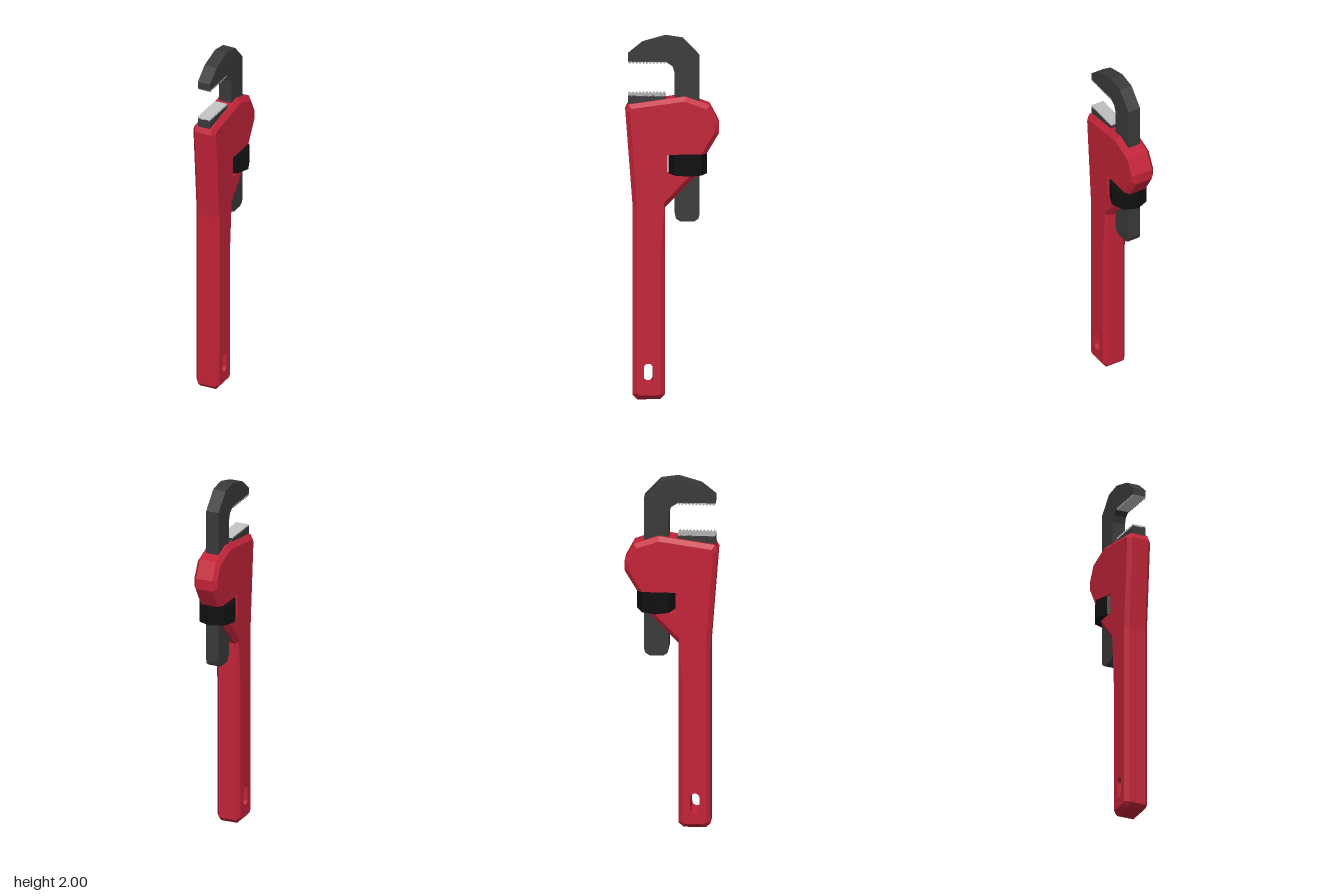
import * as THREE from 'three';

const paint = (name, color) => {
  const m = new THREE.MeshStandardMaterial({ color });
  m.name = name;
  return m;
};

// Profiles are drawn as (z, y) and extruded across x.
const toShape = (pts) => new THREE.Shape(pts.map(([z, y]) => new THREE.Vector2(z, y)));

function plate(name, pts, width, material) {
  const geo = new THREE.ExtrudeGeometry(toShape(pts), { depth: width, bevelEnabled: false });
  geo.translate(0, 0, -width / 2);
  geo.rotateY(-Math.PI / 2);
  const mesh = new THREE.Mesh(geo, material);
  mesh.name = name;
  return mesh;
}

// Mitred inward offset of a counter-clockwise outline; a third value sets a plain shift in z.
function insetOutline(pts, d) {
  const normal = (a, b) => new THREE.Vector2(a[1] - b[1], b[0] - a[0]).normalize();
  return pts.map((p, i) => {
    if (p.length > 2) return [p[0] + p[2], p[1]];
    const n1 = normal(pts.at(i - 1), p);
    const n2 = normal(p, pts[(i + 1) % pts.length]);
    const k = d / (1 + n1.dot(n2));
    return [p[0] + (n1.x + n2.x) * k, p[1] + (n1.y + n2.y) * k];
  });
}

// Handle and head in one piece, with chamfered outer edges and a square-cut hanging slot.
function makeBody(material) {
  const outline = [
    [0.19, 0], [0.215, 0.025], [0.215, 1.07], [0.255, 1.597], [0.238, 1.63],
    [-0.07, 1.673], [-0.205, 1.625], [-0.255, 1.53], [-0.255, 1.47],
    // notch for the adjusting nut
    [-0.187, 1.355, 0.029], [0.025, 1.355, 0], [0.025, 1.235, 0], [-0.13, 1.235, 0.035],
    [0.04, 1.06], [0.04, 0.025], [0.065, 0],
  ];
  const inner = insetOutline(outline, 0.024);
  const shape = toShape(outline);
  const slot = new THREE.Path();
  slot.absarc(0.13, 0.175, 0.025, 0, Math.PI);
  slot.absarc(0.13, 0.11, 0.025, Math.PI, Math.PI * 2);
  shape.holes.push(slot);

  const geo = new THREE.ExtrudeGeometry(shape, { depth: 3, steps: 3, bevelEnabled: false, curveSegments: 6 });
  const layers = [-0.069, -0.048, 0.048, 0.069];
  const pos = geo.attributes.position;
  for (let i = 0; i < pos.count; i++) {
    const layer = Math.round(pos.getZ(i));
    if (layer === 0 || layer === 3) {
      const k = outline.findIndex(([z, y]) => Math.hypot(z - pos.getX(i), y - pos.getY(i)) < 1e-4);
      if (k >= 0) pos.setXY(i, inner[k][0], inner[k][1]);
    }
    pos.setZ(i, layers[layer]);
  }
  geo.rotateY(-Math.PI / 2);
  geo.computeVertexNormals();
  const mesh = new THREE.Mesh(geo, material);
  mesh.name = 'handleAndHead';
  return mesh;
}

// Row of gripping teeth: base line at y, tips pointing up (dir 1) or down (dir -1).
function makeTeeth(name, y, dir, material) {
  const count = 11, z0 = 0.033, z1 = 0.24, step = (z1 - z0) / count;
  const pts = [[z1, y - dir * 0.004], [z0, y - dir * 0.004]];
  for (let i = 0; i < count; i++) {
    pts.push([z0 + i * step, y], [z0 + (i + 0.5) * step, y + dir * 0.012]);
  }
  pts.push([z1, y]);
  return plate(name, pts, 0.074, material);
}

export function createModel() {
  const red = paint('red enamel', 0xc22338);
  const steel = paint('dark steel', 0x3a3a3a);
  const black = paint('black nut', 0x101010);
  const bright = paint('bright steel', 0xb8b8b8);

  const model = new THREE.Group();
  model.name = 'pipeWrench';
  model.add(makeBody(red));

  // Sliding hook jaw with its long shank
  model.add(plate('hookJaw', [
    [0.24, 1.862], [0.24, 1.9], [0.16, 1.965], [0.035, 2.0], [-0.06, 1.985], [-0.15, 1.89],
    [-0.15, 1.02], [-0.143, 0.995], [-0.12, 0.98], [-0.045, 0.98], [-0.022, 0.995], [-0.015, 1.02],
    [-0.015, 1.8], [-0.002, 1.838], [0.033, 1.862],
  ], 0.074, steel));
  model.add(makeTeeth('hookTeeth', 1.862, -1, bright));

  // Fixed heel jaw on top of the head
  model.add(plate('heelJaw', [[0.033, 1.6], [0.24, 1.6], [0.24, 1.677], [0.033, 1.677]], 0.074, steel));
  model.add(makeTeeth('heelTeeth', 1.677, 1, bright));

  // Octagonal adjusting nut around the shank
  const nutGeo = new THREE.CylinderGeometry(0.104, 0.104, 0.11, 8).toNonIndexed();
  nutGeo.computeVertexNormals();
  const nut = new THREE.Mesh(nutGeo, black);
  nut.name = 'adjustingNut';
  nut.position.set(0, 1.295, -0.086);
  model.add(nut);

  return model;
}
